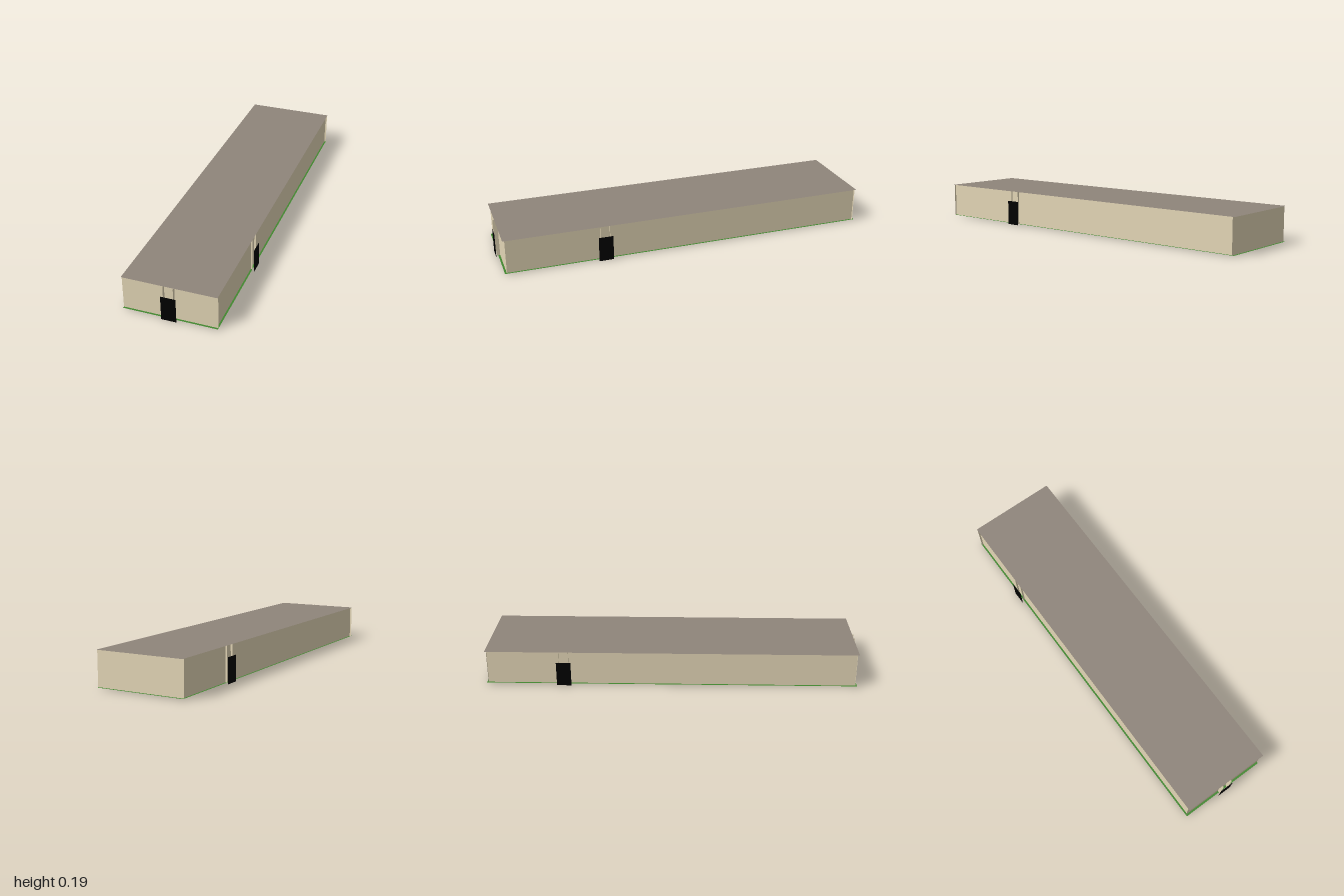
import * as THREE from 'three';

const flat = (name, color) => {
  const m = new THREE.MeshStandardMaterial({ color, side: THREE.DoubleSide });
  m.name = name;
  return m;
};

export function createModel() {
  const model = new THREE.Group();
  model.name = 'longHall';
  const wallMat = flat('sandWall', 0xe3d6b6);
  const roofMat = flat('greyRoof', 0x8f857b);
  const floorMat = flat('greenFloor', 0x42882f);
  const doorMat = flat('blackDoor', 0x000000);

  const FLOOR = 0.005, TOP = 0.188, H = TOP - FLOOR, MID = (TOP + FLOOR) / 2;
  const HALF = 0.243, SIDE = 0.234, FRONT = 0.978, BACK = -0.99;

  // Thin sheet of w by h, placed at x, y, z and turned about y (or laid flat).
  const sheet = (name, mat, w, h, [x, y, z], turn = 0, tilt = 0, parent = model) => {
    const mesh = new THREE.Mesh(new THREE.PlaneGeometry(w, h), mat);
    mesh.name = name;
    mesh.position.set(x, y, z);
    mesh.rotation.set(tilt, turn, 0);
    parent.add(mesh);
    return mesh;
  };

  // Roof and floor slabs
  sheet('roof', roofMat, 2 * HALF, 1.988, [0, TOP, -0.006], 0, -Math.PI / 2);
  sheet('floor', floorMat, 2 * HALF, 1.988, [0, FLOOR, -0.006], 0, -Math.PI / 2);

  // Walls; the end walls reach slightly past the side walls
  sheet('frontWall', wallMat, 2 * HALF, H, [0, MID, FRONT]);
  sheet('backWall', wallMat, 2 * HALF, H, [0, MID, BACK], Math.PI);
  for (const s of [1, -1]) {
    sheet(s > 0 ? 'leftWall' : 'rightWall', wallMat, FRONT - BACK, H,
      [s * SIDE, MID, (FRONT + BACK) / 2], s * Math.PI / 2);
  }

  // Doorway: door panel standing off the wall, with two full-height side fins behind it
  const doorway = (name, x, z, turn, finDepth, gap) => {
    const g = new THREE.Group();
    g.name = name;
    g.position.set(x, 0, z);
    g.rotation.y = turn;
    sheet('door', doorMat, 0.078, 0.134, [0, 0.067, gap], 0, 0, g);
    for (const s of [1, -1]) {
      sheet('doorFin', wallMat, finDepth, H, [s * 0.026, MID, finDepth / 2], s * Math.PI / 2, 0, g);
    }
    model.add(g);
  };
  doorway('frontDoorway', 0, FRONT, 0, 0.018, 0.022);
  doorway('leftDoorway', SIDE, 0.46, Math.PI / 2, 0.009, 0.022);
  doorway('rightDoorway', -SIDE, -0.58, -Math.PI / 2, 0.009, 0.022);

  // Small dark spots on the underside of the floor
  const spots = [
    [0.07, 0.68], [0.11, 0.47], [0.1, 0.44], [0.04, 0.27], [-0.07, 0.21], [-0.11, 0.21],
    [0.13, 0.02], [0.1, 0], [0.13, -0.21], [0.12, -0.25], [0.07, -0.2], [-0.11, 0],
    [-0.13, -0.02], [-0.08, -0.21], [-0.14, -0.2], [-0.13, -0.26], [0.12, -0.47], [0.09, -0.51],
    [0.09, -0.66], [0.15, -0.73], [0.08, -0.73], [-0.13, -0.36], [-0.1, -0.65], [-0.12, -0.71],
  ];
  for (const [x, z] of spots) {
    sheet('floorSpot', doorMat, 0.006, 0.006, [x, FLOOR - 0.0008, z], 0, Math.PI / 2);
  }
  return model;
}
